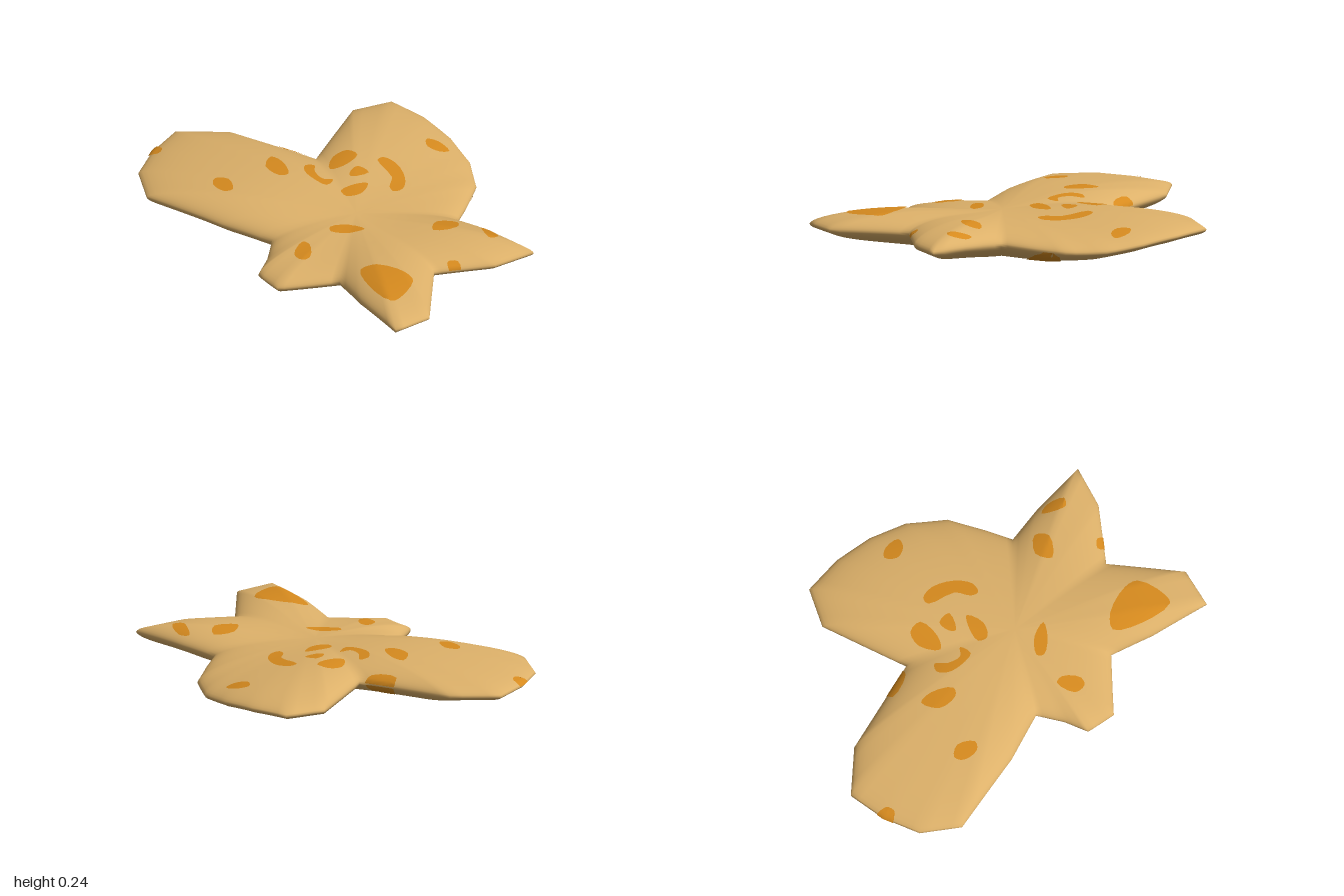
import * as THREE from 'three';
import { mergeVertices } from 'three/addons/utils/BufferGeometryUtils.js';

// Outline of the five lobes as [x, z], seen from above
const OUTLINE = [
  [-.49, -.7], [-.29, -.735], [-.09, -.73], [.1, -.685], [.27, -.575], [.38, -.41], [.45, -.29],
  [.63, -.33], [.92, -.37], [.88, -.16], [.8, -.03], [.72, .1], [.85, .23], [.995, .375], [.97, .57],
  [.67, .53], [.45, .475], [.35, .61], [.27, .72], [.12, .71], [.06, .6], [-.03, .49], [-.27, .6],
  [-.68, .725], [-.86, .62], [-.95, .45], [-1, .26], [-.83, .075], [-.6, -.01], [-.37, -.095],
  [-.46, -.29], [-.56, -.51],
];
const CX = 0.15, CZ = 0.1;

// Height of the top (side 1) or underside (side -1) at fraction t from centre to rim
function height(x, t, side) {
  const mid = 0.106 + 0.05 * (1 - Math.exp(-(((x - 0.2) / 0.35) ** 2)));
  return mid + side * 0.1 * Math.pow(Math.max(0, 1 - t * t), 0.54);
}

// Fraction of the way from the centre to the rim for a point
function rimFraction(x, z) {
  const dx = x - CX, dz = z - CZ;
  for (let i = 0; i < OUTLINE.length; i++) {
    const a = OUTLINE[i], b = OUTLINE[(i + 1) % OUTLINE.length];
    const ax = a[0] - CX, az = a[1] - CZ, ex = b[0] - a[0], ez = b[1] - a[1];
    const den = dx * ez - dz * ex;
    if (Math.abs(den) < 1e-9) continue;
    const k = (ax * ez - az * ex) / den;
    const s = (ax * dz - az * dx) / den;
    if (k > 0 && s >= -1e-6 && s <= 1 + 1e-6) return 1 / k;
  }
  return 0;
}

// Body: rings run from the top centre over the rim to the bottom centre
function bodyGeometry() {
  const SUB = 4, RINGS = 16, n = OUTLINE.length * SUB;
  const pos = [], idx = [];
  for (let r = 0; r <= RINGS * 2; r++) {
    const side = r <= RINGS ? 1 : -1;
    const t = Math.sin((Math.PI / 2) * (r <= RINGS ? r : 2 * RINGS - r) / RINGS);
    for (let j = 0; j < n; j++) {
      const a = OUTLINE[Math.floor(j / SUB)], b = OUTLINE[(Math.floor(j / SUB) + 1) % OUTLINE.length];
      const s = (j % SUB) / SUB;
      const x = CX + (a[0] + (b[0] - a[0]) * s - CX) * t;
      const z = CZ + (a[1] + (b[1] - a[1]) * s - CZ) * t;
      pos.push(x, height(x, t, side), z);
      if (r < RINGS * 2) {
        const p = r * n + j, q = r * n + (j + 1) % n;
        if (r > 0) idx.push(p, q, p + n);
        if (r < RINGS * 2 - 1) idx.push(q, q + n, p + n);
        else idx[idx.length - 1] = p + n;
      }
    }
  }
  const g = new THREE.BufferGeometry();
  g.setAttribute('position', new THREE.Float32BufferAttribute(pos, 3));
  g.setIndex(idx);
  const merged = mergeVertices(g, 1e-5);
  merged.computeVertexNormals();
  return merged;
}

// Spot: a rounded patch, divided finely and laid on the body
function spotGeometry(points, side) {
  const curve = new THREE.CatmullRomCurve3(points.map(([x, z]) => new THREE.Vector3(x, -z, 0)), true);
  const outline = curve.getPoints(points.length * 3).slice(0, -1).map((p) => new THREE.Vector2(p.x, p.y));
  const flat = new THREE.ShapeGeometry(new THREE.Shape(outline)).toNonIndexed().getAttribute('position');
  let tris = [];
  for (let i = 0; i < flat.count; i += 3) {
    tris.push([0, 1, 2].map((k) => new THREE.Vector2(flat.getX(i + k), flat.getY(i + k))));
  }
  for (let pass = 0; pass < 3; pass++) {
    tris = tris.flatMap(([a, b, c]) => {
      const ab = a.clone().lerp(b, 0.5), bc = b.clone().lerp(c, 0.5), ca = c.clone().lerp(a, 0.5);
      return [[a, ab, ca], [ab, b, bc], [ca, bc, c], [ab, bc, ca]];
    });
  }
  const pos = [];
  for (const tri of tris) {
    for (const p of side > 0 ? tri : [tri[0], tri[2], tri[1]]) {
      let x = p.x, z = -p.y, t = rimFraction(x, z);
      if (t > 0.97) {
        const k = (t > 1 ? 1.004 : t + 0.004) / t;
        x = CX + (x - CX) * k;
        z = CZ + (z - CZ) * k;
        t = Math.min(t, 1);
      }
      pos.push(x, height(x, t, side) + side * 0.004, z);
    }
  }
  const g = new THREE.BufferGeometry();
  g.setAttribute('position', new THREE.Float32BufferAttribute(pos, 3));
  const merged = mergeVertices(g, 1e-5);
  merged.computeVertexNormals();
  return merged;
}

const TOP_SPOTS = [
  [[-.11, -.59], [-.07, -.63], [.01, -.63], [0, -.58], [-.06, -.55]],
  [[-.1, -.3], [-.03, -.32], [.08, -.28], [.14, -.21], [.13, -.16], [.09, -.17], [.04, -.23], [-.1, -.26]],
  [[-.26, -.2], [-.19, -.21], [-.17, -.1], [-.2, -.04], [-.27, -.12]],
  [[-.12, -.15], [-.05, -.16], [-.08, -.07], [-.11, -.09]],
  [[.01, -.1], [.05, -.02], [.02, .05], [-.03, .04], [-.02, -.05]],
  [[-.29, .04], [-.27, 0], [-.22, .04], [-.15, .05], [-.12, .01], [-.1, .07], [-.18, .09], [-.25, .08]],
  [[-.45, .12], [-.38, .11], [-.28, .16], [-.3, .2], [-.4, .2]],
  [[-.5, .44], [-.45, .4], [-.37, .44], [-.39, .48], [-.47, .48]],
  [[.15, .27], [.2, .19], [.28, .16], [.25, .23], [.18, .29]],
  [[.14, .44], [.18, .43], [.25, .49], [.24, .53], [.18, .53]],
];
const LOBE_SPOTS = [
  [[.52, .4], [.56, .33], [.7, .27], [.77, .28], [.83, .42], [.82, .47], [.65, .46]],
  [[.47, -.14], [.53, -.22], [.58, -.17], [.52, -.07]],
  [[.63, -.29], [.68, -.31], [.76, -.28], [.74, -.24], [.67, -.26]],
  [[-.53, .0], [-.41, -.05], [-.4, -.1], [-.54, -.05]],
  [[-.97, .42], [-.91, .42], [-.89, .46], [-.93, .5], [-.99, .5]],
  [[.73, .02], [.76, -.02], [.8, 0], [.76, .04]],
];
const UNDER_SPOTS = [
  [[.35, -.43], [.28, -.54], [.15, -.26], [.14, -.15], [.19, -.14], [.28, -.26]],
  [[.49, .06], [.57, .05], [.59, .11], [.54, .17], [.49, .14]],
  [[.08, .36], [.15, .34], [.2, .41], [.13, .47], [.08, .43]],
  [[-.35, .13], [-.29, .07], [-.2, .1], [-.24, .19], [-.32, .21]],
  [[-.68, .47], [-.65, .45], [-.62, .48], [-.65, .51]],
  [[-.52, .0], [-.42, -.05], [-.4, -.1], [-.54, -.05]],
];

export function createModel() {
  const sand = new THREE.MeshStandardMaterial({ color: 0xdcb069 });
  sand.name = 'sand';
  const orange = new THREE.MeshStandardMaterial({ color: 0xd68a1e });
  orange.name = 'orange';

  const model = new THREE.Group();
  model.name = 'lobedBody';
  const body = new THREE.Mesh(bodyGeometry(), sand);
  body.name = 'body';
  model.add(body);

  const addSpots = (name, list, side) => {
    const group = new THREE.Group();
    group.name = name;
    list.forEach((points, i) => {
      const spot = new THREE.Mesh(spotGeometry(points, side), orange);
      spot.name = `spot${i + 1}`;
      group.add(spot);
    });
    model.add(group);
  };
  addSpots('topSpots', [...TOP_SPOTS, ...LOBE_SPOTS], 1);
  addSpots('undersideSpots', UNDER_SPOTS, -1);
  return model;
}
